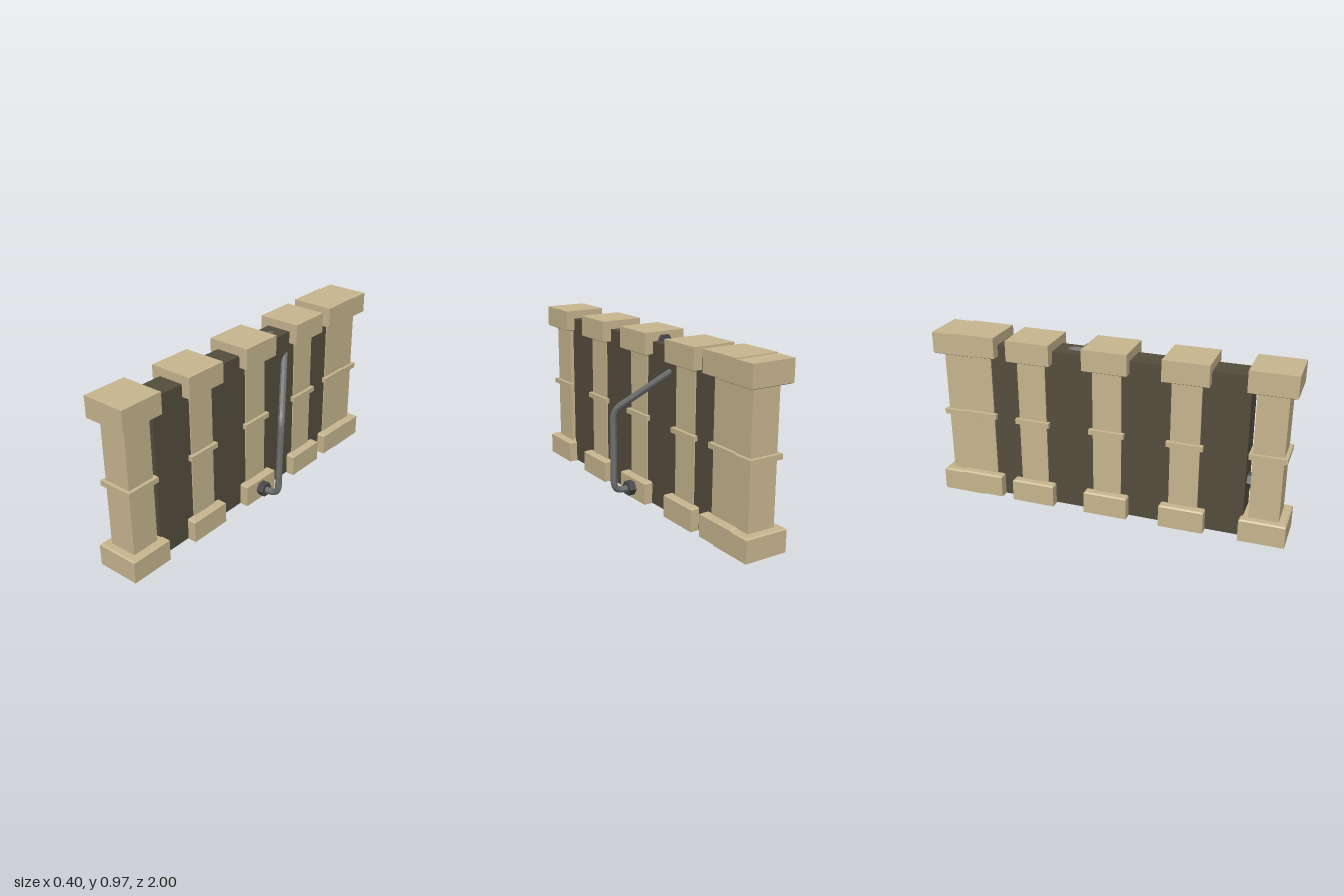
import * as THREE from 'three';

const mat = (color) => new THREE.MeshStandardMaterial({ color, flatShading: true });
const stone = mat(0xc8b78f), darkStone = mat(0x544e3d), steel = mat(0x707070), iron = mat(0x4a4a4a);
const AXIS_X = -0.075; // centre line of the wall

// Square pillar profile: half width, height
const PROFILE = [
  [0, 0], [0.125, 0], [0.125, 0.12], [0.117, 0.127], [0.081, 0.127],
  [0.081, 0.475], [0.1, 0.475], [0.1, 0.504], [0.081, 0.504],
  [0.081, 0.845], [0.117, 0.845], [0.125, 0.85], [0.125, 0.967], [0, 0.967],
];

function mesh(name, geometry, material) {
  const m = new THREE.Mesh(geometry, material);
  m.name = name;
  return m;
}

// Hexagonal nut whose axis runs along the given direction
function nut(name, x, y, z, length, axis) {
  const g = new THREE.CylinderGeometry(0.043, 0.043, length, 6);
  if (axis === 'x') g.rotateZ(Math.PI / 2);
  else g.rotateY(Math.PI / 2).rotateX(Math.PI / 2);
  const m = mesh(name, g, iron);
  m.position.set(x, y, z);
  return m;
}

// Pipe through straight runs with rounded corners
function pipe(name, coords, bend, segments) {
  const p = coords.map((c) => new THREE.Vector3(...c));
  const path = new THREE.CurvePath();
  let from = p[0];
  for (let i = 1; i < p.length - 1; i++) {
    const a = p[i].clone().add(p[i - 1].clone().sub(p[i]).setLength(bend));
    const b = p[i].clone().add(p[i + 1].clone().sub(p[i]).setLength(bend));
    path.add(new THREE.LineCurve3(from, a));
    path.add(new THREE.QuadraticBezierCurve3(a, p[i], b));
    from = b;
  }
  path.add(new THREE.LineCurve3(from, p[p.length - 1]));
  return mesh(name, new THREE.TubeGeometry(path, segments, 0.019, 8), steel);
}

export function createModel() {
  const group = new THREE.Group();
  group.name = 'pillaredWall';

  // Dark infill wall
  const wall = mesh('wall', new THREE.BoxGeometry(0.148, 0.915, 1.53), darkStone);
  wall.position.set(AXIS_X, 0.4615, 0);
  group.add(wall);

  // Pillars, the last two overlapping
  const points = PROFILE.map(([r, y]) => new THREE.Vector2(r * Math.SQRT2, y));
  const pillarGeometry = new THREE.LatheGeometry(points, 4, Math.PI / 4);
  [0.875, 0.435, 0, -0.435, -0.755, -0.875].forEach((z, i) => {
    const pillar = mesh('pillar' + (i + 1), pillarGeometry, stone);
    pillar.position.set(AXIS_X, i === 4 ? 0.005 : i === 2 ? 0.002 : 0, z);
    group.add(pillar);
  });

  // Outer pipe from the middle base up into the wall
  group.add(nut('baseNut', 0.07, 0.068, 0, 0.042, 'x'));
  group.add(pipe('outerPipe', [
    [0.06, 0.068, 0], [0.172, 0.068, 0], [0.18, 0.54, -0.01], [-0.02, 0.797, -0.295],
  ], 0.06, 48));

  // Short pipe along the top of the wall
  group.add(nut('topNut', -0.07, 0.913, -0.134, 0.03, 'z'));
  group.add(pipe('topPipe', [
    [-0.07, 0.916, -0.11], [-0.07, 0.916, -0.25], [-0.07, 0.82, -0.28],
  ], 0.05, 20));

  // Nut and pipe in the gap at the front end
  group.add(nut('endNut', AXIS_X, 0.305, 0.782, 0.034, 'z'));
  group.add(pipe('endPipe', [[AXIS_X, 0.305, 0.8], [AXIS_X, 0.305, 0.72]], 0, 2));

  return group;
}
